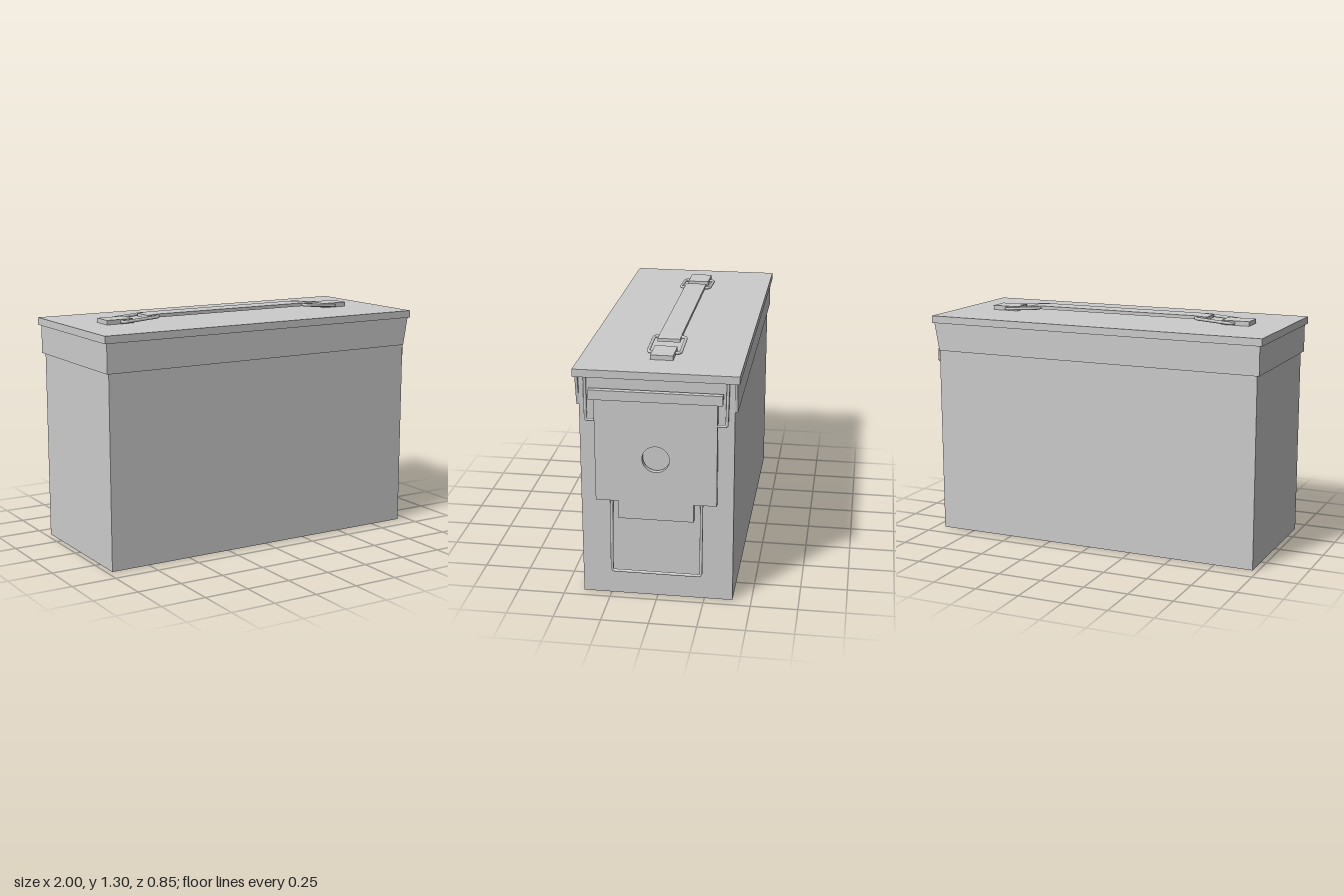
import * as THREE from 'three';

const material = new THREE.MeshStandardMaterial({ color: 0xcccccc, side: THREE.DoubleSide });

function add(parent, name, geometry) {
  const mesh = new THREE.Mesh(geometry, material);
  mesh.name = name;
  parent.add(mesh);
  return mesh;
}

// Box given by its limits on each axis
function block(parent, name, [x0, x1], [y0, y1], [z0, z1]) {
  const mesh = add(parent, name, new THREE.BoxGeometry(x1 - x0, y1 - y0, z1 - z0));
  mesh.position.set((x0 + x1) / 2, (y0 + y1) / 2, (z0 + z1) / 2);
  return mesh;
}

// Bent wire through the points, with rounded corners
function wire(parent, name, coords, radius, bend) {
  const pts = coords.map((c) => new THREE.Vector3(...c));
  const path = new THREE.CurvePath();
  let from = pts[0];
  for (let i = 1; i < pts.length - 1; i++) {
    const toward = (q) => pts[i].clone().add(q.clone().sub(pts[i]).setLength(bend));
    const a = toward(pts[i - 1]);
    const b = toward(pts[i + 1]);
    path.add(new THREE.LineCurve3(from, a));
    path.add(new THREE.QuadraticBezierCurve3(a, pts[i], b));
    from = b;
  }
  path.add(new THREE.LineCurve3(from, pts[pts.length - 1]));
  return add(parent, name, new THREE.TubeGeometry(path, 120, radius, 8, false));
}

// Flat outline extruded along z
function prism(parent, name, outline, z0, depth) {
  const shape = new THREE.Shape(outline.map((p) => new THREE.Vector2(...p)));
  const geo = new THREE.ExtrudeGeometry(shape, { depth, bevelEnabled: false });
  geo.translate(0, 0, z0);
  return add(parent, name, geo);
}

function createLid() {
  const lid = new THREE.Group();
  lid.name = 'lid';
  block(lid, 'lidTop', [-1, 0.977], [1.225, 1.266], [-0.425, 0.425]);
  // Skirt on three sides, cut at a slant beside the latch
  const side = [[-0.985, 1.065], [0.94, 1.065], [0.968, 1.225], [-0.985, 1.225]];
  prism(lid, 'skirtFront', side, 0.4, 0.014);
  prism(lid, 'skirtBack', side, -0.414, 0.014);
  block(lid, 'skirtEnd', [-0.985, -0.97], [1.065, 1.225], [-0.414, 0.414]);
  return lid;
}

function createHandle() {
  const handle = new THREE.Group();
  handle.name = 'handle';
  handle.position.x = -0.016;
  // Carrying strap, bent down a little at both ends
  const strap = [[-0.545, 1.283], [-0.48, 1.286], [0.48, 1.286], [0.545, 1.283],
    [0.545, 1.301], [0.48, 1.305], [-0.48, 1.305], [-0.545, 1.301]];
  prism(handle, 'strap', strap, -0.06, 0.12);
  for (const s of [-1, 1]) {
    const x = [s * 0.633, s * 0.792].sort((a, b) => a - b);
    block(handle, 'strapBracket', x, [1.266, 1.291], [-0.06, 0.06]);
    // Wire loop joining the strap to its bracket
    const outer = [s * 0.703, 1.278];
    const inner = [s * 0.485, 1.294];
    wire(handle, 'handleLoop', [[...outer, 0], [...outer, 0.086], [...inner, 0.086],
      [...inner, -0.086], [...outer, -0.086], [...outer, 0]], 0.009, 0.025);
  }
  return handle;
}

function createLatch() {
  const latch = new THREE.Group();
  latch.name = 'latch';
  // Plate drawn in z and y, with a narrow tab below and a round hole
  const half = [[0.197, 0.46], [0.197, 0.558], [0.316, 0.558], [0.316, 1.115]];
  const outline = [...half, ...half.map(([z, y]) => [-z, y]).reverse()];
  const shape = new THREE.Shape(outline.map((p) => new THREE.Vector2(...p)));
  const hole = new THREE.Path();
  hole.absarc(0, 0.8, 0.071, 0, Math.PI * 2, true);
  shape.holes.push(hole);
  const plate = new THREE.ExtrudeGeometry(shape, { depth: 0.03, bevelEnabled: false, curveSegments: 24 });
  plate.rotateY(Math.PI / 2);
  plate.translate(0.956, 0, 0);
  add(latch, 'latchPlate', plate);
  block(latch, 'latchTopLip', [0.962, 0.994], [1.113, 1.165], [-0.343, 0.343]);

  // Hinge wire hanging from the lid, running behind the plate
  for (const s of [-1, 1]) {
    wire(latch, 'hingeWire', [[0.955, 1.23, s * 0.366], [0.972, 0.997, s * 0.362],
      [0.972, 0.997, s * 0.28]], 0.008, 0.012);
  }
  // Long pull wire below the plate
  wire(latch, 'pullWire', [[0.965, 0.58, 0.236], [0.991, 0.155, 0.236],
    [0.991, 0.155, -0.236], [0.965, 0.58, -0.236]], 0.008, 0.012);
  return latch;
}

export function createModel() {
  const model = new THREE.Group();
  model.name = 'metalBox';
  block(model, 'body', [-0.97, 0.946], [0, 1.226], [-0.4, 0.4]);
  model.add(createLid(), createHandle(), createLatch());
  return model;
}
